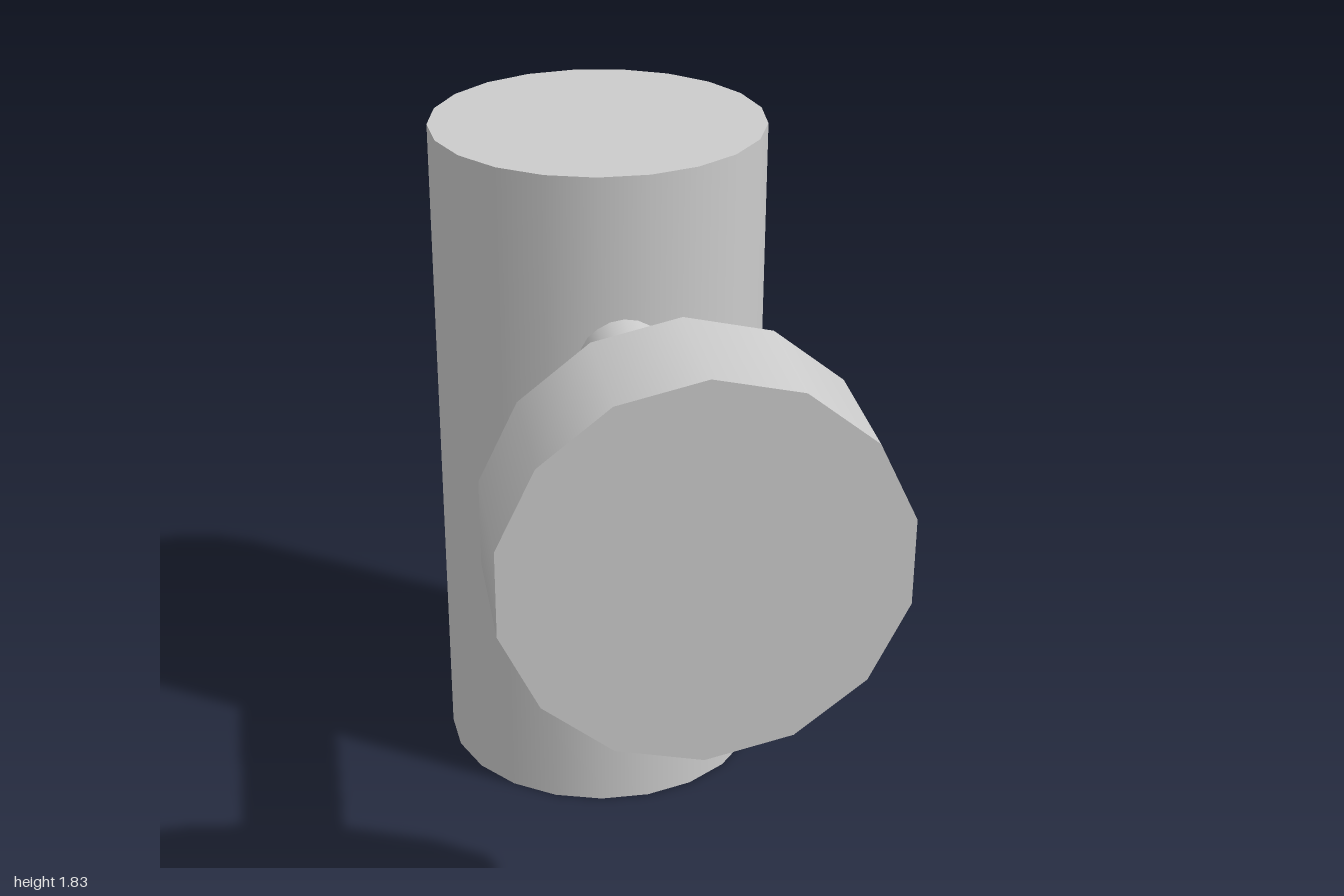
import * as THREE from 'three';
import { mergeGeometries } from 'three/addons/utils/BufferGeometryUtils.js';

const material = new THREE.MeshStandardMaterial({ color: 0xcccccc });

function addMesh(group, name, geometry) {
  const mesh = new THREE.Mesh(geometry, material);
  mesh.name = name;
  group.add(mesh);
  return mesh;
}

// Lathe with a sharp edge at every profile point, smooth around the axis
function sharpLathe(profile, sides, start) {
  const bands = [];
  for (let i = 0; i < profile.length - 1; i++) {
    const pair = [profile[i], profile[i + 1]].map(([x, y]) => new THREE.Vector2(x, y));
    bands.push(new THREE.LatheGeometry(pair, sides, start));
  }
  return mergeGeometries(bands);
}

// Cylinder lying along z between two depths
function addRod(group, name, radius, zBack, zFront, y, sides) {
  const rod = addMesh(group, name, new THREE.CylinderGeometry(radius, radius, zFront - zBack, sides));
  rod.rotation.x = Math.PI / 2;
  rod.position.set(0, y, (zBack + zFront) / 2);
}

export function createModel() {
  const group = new THREE.Group();
  group.name = 'spotlight';
  const armY = 1.34;

  // Lamp housing: closed on top, with a recess open at the bottom
  const outer = 0.4425, inner = 0.372, height = 1.83, recess = 0.41;
  const profile = [[0, recess], [inner, recess], [inner, 0], [outer, 0], [outer, height], [0, height]];
  const housing = addMesh(group, 'lampHousing', sharpLathe(profile, 21, Math.PI));
  housing.position.z = -0.5575;

  // Arm joining the housing to the mounting plate
  addRod(group, 'arm', 0.114, -0.2, 0.68, armY, 20);

  // Round mounting plate
  addRod(group, 'mountingPlate', 0.458, 0.68, 1, armY, 14);

  return group;
}
